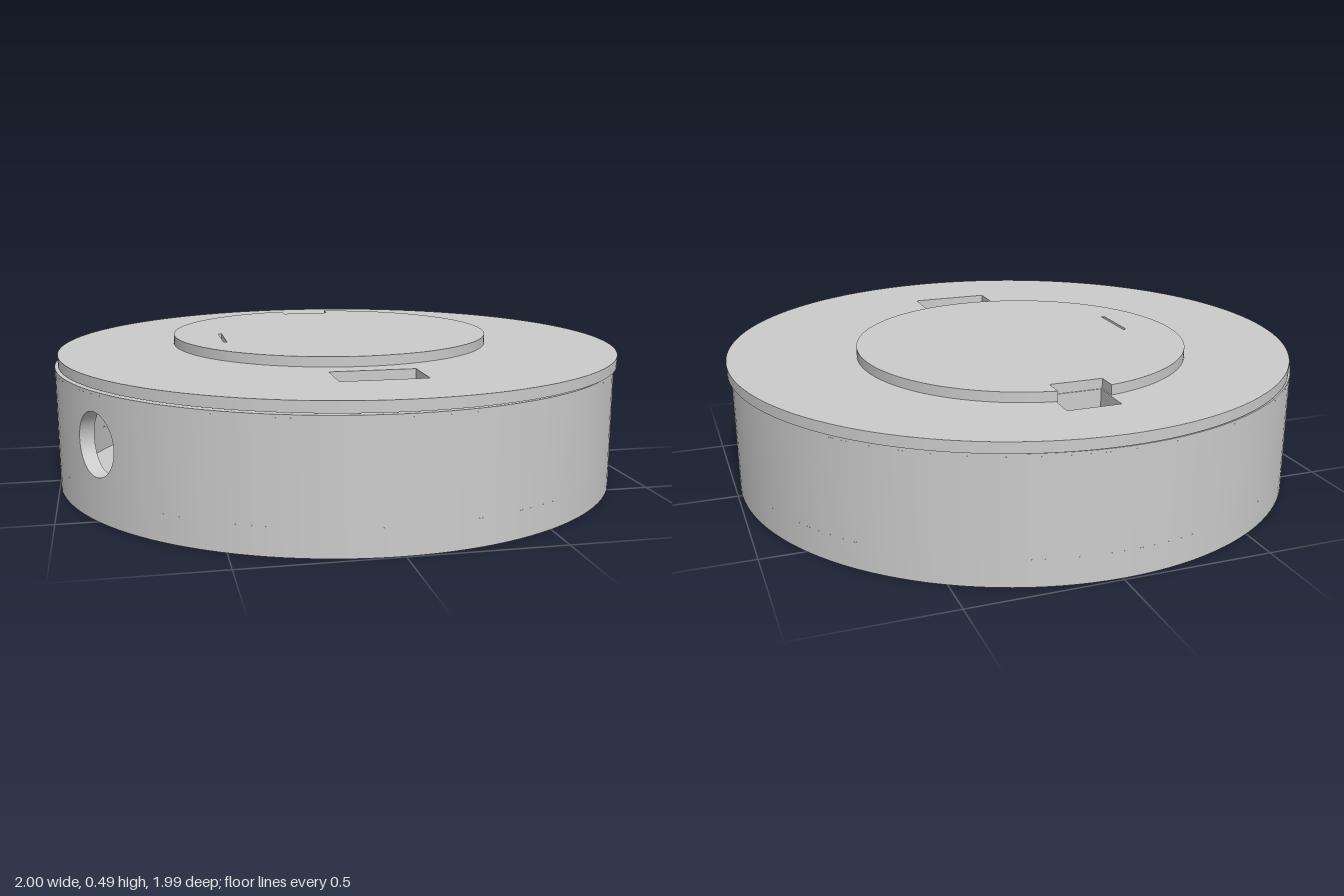
import * as THREE from 'three';
import { ParametricGeometry } from 'three/addons/geometries/ParametricGeometry.js';

const grey = new THREE.MeshStandardMaterial({ color: 0xcccccc, side: THREE.DoubleSide });
const R = 0.993, WALL = 0.05, SEG = 128;
const PORT = { angle: -Math.PI / 3, y: 0.25, r: 0.105, half: 0.16 };

function add(parent, name, geometry, x = 0, y = 0, z = 0) {
  const mesh = new THREE.Mesh(geometry, grey);
  mesh.name = name;
  mesh.position.set(x, y, z);
  parent.add(mesh);
  return mesh;
}

// Vertical shape extrusion: shape y runs towards -z
function slab(shape, height) {
  const g = new THREE.ExtrudeGeometry(shape, { depth: height, bevelEnabled: false, curveSegments: SEG });
  return g.rotateX(-Math.PI / 2);
}

function rectPath(x0, x1, z0, z1) {
  return new THREE.Path([[x0, -z0], [x1, -z0], [x1, -z1], [x0, -z1]].map(p => new THREE.Vector2(...p)));
}

function disc(radius, holes) {
  const s = new THREE.Shape().absarc(0, 0, radius, 0, Math.PI * 2);
  s.holes.push(...holes);
  return s;
}

// Wall point at arc offset s and height y from the port centre
function onWall(radius, s, y, target) {
  const a = PORT.angle + s / R;
  target.set(radius * Math.sin(a), PORT.y + y, radius * Math.cos(a));
}

function createBody() {
  const body = new THREE.Group();
  body.name = 'body';
  const half = PORT.half / R;
  for (const [name, r] of [['outerWall', R], ['innerWall', R - WALL]]) {
    const band = (y0, y1, start = 0, len = Math.PI * 2) => add(body, name,
      new THREE.CylinderGeometry(r, r, y1 - y0, SEG, 1, true, start, len), 0, (y0 + y1) / 2, 0);
    band(0, PORT.y - PORT.half);
    band(PORT.y - PORT.half, PORT.y + PORT.half, PORT.angle + half, Math.PI * 2 - 2 * half);
    band(PORT.y + PORT.half, 0.42);
    // Curved panel running from the round port out to a square border
    add(body, name + 'PortPanel', new ParametricGeometry((u, v, t) => {
      const a = u * Math.PI * 2, c = Math.cos(a), s = Math.sin(a);
      const edge = PORT.half / Math.max(Math.abs(c), Math.abs(s));
      const d = THREE.MathUtils.lerp(PORT.r, edge, v);
      onWall(r, d * c, d * s, t);
    }, 48, 4));
  }
  // Lining of the port through the wall
  add(body, 'portLining', new ParametricGeometry((u, v, t) => {
    const a = u * Math.PI * 2;
    onWall(R - v * WALL, PORT.r * Math.cos(a), PORT.r * Math.sin(a), t);
  }, 48, 1));
  add(body, 'base', new THREE.CircleGeometry(R, SEG).rotateX(Math.PI / 2));
  add(body, 'rim', new THREE.RingGeometry(R - WALL, R, SEG).rotateX(-Math.PI / 2), 0, 0.42, 0);
  body.position.set(-0.007, 0, 0.002);
  return body;
}

function createLid() {
  const lid = new THREE.Group();
  lid.name = 'lid';
  const front = [-0.14, 0.145, 0.545, 0.705];
  const back = [-0.095, 0.085, -0.755, -0.605];
  const slit = [-0.42, -0.408, -0.105, 0.09];
  const holes = () => [front, back, slit].map(r => rectPath(...r));

  // Overhanging plate, and the plug that sits inside the body
  add(lid, 'lidPlate', slab(disc(0.994, holes()), 0.036), 0.005, 0.424, -0.003);
  add(lid, 'lidPlug', slab(disc(0.935, holes()), 0.044), 0.005, 0.38, -0.003);
  add(lid, 'pocketFloor', new THREE.CylinderGeometry(0.935, 0.935, 0.01, SEG), 0, 0.375, 0);
  add(lid, 'pocketRib', new THREE.BoxGeometry(0.285, 0.025, 0.012), 0.0025, 0.3925, 0.616);

  // Raised disc, notched where the back pocket cuts its edge
  const cx = -0.005, cz = -0.105, r = 0.575;
  const right = Math.acos((back[1] - cx) / r), left = Math.acos((back[0] - cx) / r);
  const s = new THREE.Shape();
  s.absarc(cx, -cz, r, left, right + Math.PI * 2, false);
  s.lineTo(back[1], -back[3]);
  s.lineTo(back[0], -back[3]);
  s.closePath();
  s.holes.push(rectPath(...slit));
  add(lid, 'raisedDisc', slab(s, 0.034), 0, 0.46, 0);
  return lid;
}

export function createModel() {
  const model = new THREE.Group();
  model.name = 'roundCase';
  model.add(createBody(), createLid());
  return model;
}
